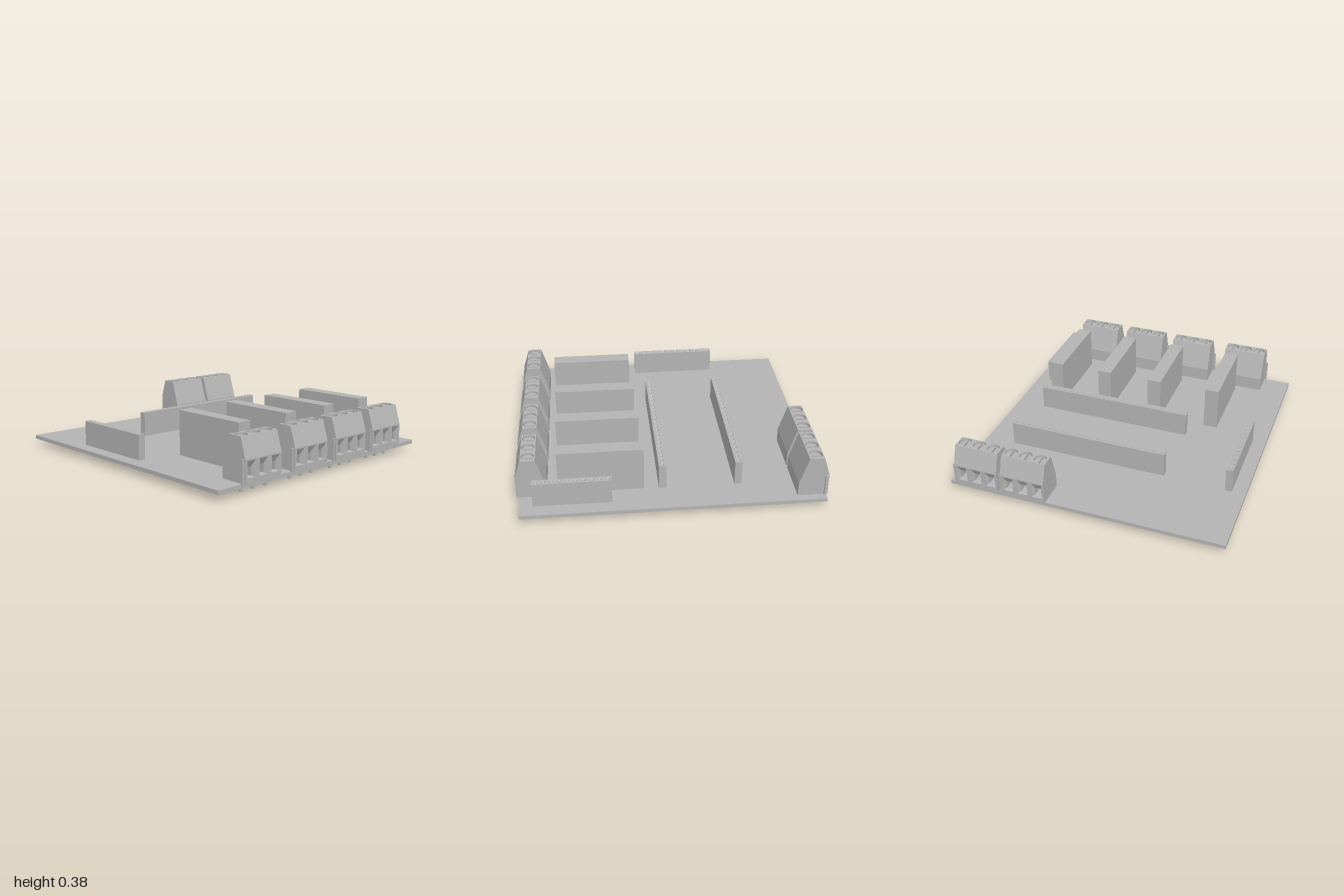
import * as THREE from 'three';
import { mergeGeometries } from 'three/addons/utils/BufferGeometryUtils.js';

const grey = new THREE.MeshStandardMaterial({ color: 0xb4b4b4 });
grey.name = 'grey';

const BOARD_TOP = 0.07;
const PITCH = 0.0505;

function mesh(parent, name, geometry) {
  const m = new THREE.Mesh(geometry, grey);
  m.name = name;
  parent.add(m);
  return m;
}

// Box given by its limits on each axis
function block(parent, name, x0, x1, y0, y1, z0, z1) {
  const m = mesh(parent, name, new THREE.BoxGeometry(x1 - x0, y1 - y0, z1 - z0));
  m.position.set((x0 + x1) / 2, (y0 + y1) / 2, (z0 + z1) / 2);
  return m;
}

function fromTriangles(points) {
  const g = new THREE.BufferGeometry().setFromPoints(points);
  g.computeVertexNormals();
  return g;
}

function face(shape) {
  const g = new THREE.ShapeGeometry(shape).toNonIndexed();
  g.deleteAttribute('uv');
  return g;
}

const rect = (x, y, w, h, z) => [[-1, -1], [1, -1], [1, 1], [-1, 1]]
  .map(([sx, sy]) => new THREE.Vector3(x + sx * w / 2, y + sy * h / 2, z));

const circle = (x, y, r, z) => Array.from({ length: 24 }, (_, i) => {
  const a = i / 24 * Math.PI * 2;
  return new THREE.Vector3(x + r * Math.cos(a), y + r * Math.sin(a), z);
});

// Flat panel facing +z with pockets; each pocket is a list of rings going inward
function panel(w, h, pockets) {
  const shape = new THREE.Shape(rect(0, 0, w, h, 0));
  const tris = [];
  for (const rings of pockets) {
    shape.holes.push(new THREE.Path(rings[0]));
    const n = rings[0].length;
    for (let k = 0; k + 1 < rings.length; k++) {
      for (let i = 0; i < n; i++) {
        const j = (i + 1) % n, r = rings[k], s = rings[k + 1];
        tris.push(r[i], r[j], s[j], r[i], s[j], s[i]);
      }
    }
    const floor = rings[rings.length - 1];
    for (let i = 1; i + 1 < n; i++) tris.push(floor[0], floor[i], floor[i + 1]);
  }
  return mergeGeometries([face(shape), fromTriangles(tris)]);
}

// Strip of walls swept along z from a counterclockwise profile, leaving some edges open
function walls(profile, length, open) {
  const tris = [];
  const at = ([x, y], z) => new THREE.Vector3(x, y, z);
  profile.forEach((p, i) => {
    if (open.includes(i)) return;
    const q = profile[(i + 1) % profile.length], h = length / 2;
    tris.push(at(p, h), at(p, -h), at(q, -h), at(p, h), at(q, -h), at(q, h));
  });
  return fromTriangles(tris);
}

// Socket strip with square holes on top and thin pins below, running along x
function pinHeader(count) {
  const g = new THREE.Group();
  const length = count * PITCH, width = 0.048, top = 0.24;
  const xs = Array.from({ length: count }, (_, i) => (i - (count - 1) / 2) * PITCH);
  const sides = [[0, -1], [1, 0], [0, 1], [-1, 0]].map(([sx, sz]) => {
    const p = new THREE.PlaneGeometry(sx ? width : length, top - BOARD_TOP).toNonIndexed();
    p.deleteAttribute('uv');
    p.rotateY(Math.atan2(sx, sz));
    return p.translate(sx * length / 2, (top + BOARD_TOP) / 2, sz * width / 2);
  });
  mesh(g, 'headerSides', mergeGeometries(sides));
  const pockets = xs.map(x => [rect(x, 0, 0.024, 0.024, 0), rect(x, 0, 0.013, 0.013, -0.012),
    rect(x, 0, 0.013, 0.013, -0.1)]);
  mesh(g, 'headerSockets', panel(length, width, pockets).rotateX(-Math.PI / 2)).position.y = top;
  xs.forEach(x => {
    const pin = mesh(g, 'headerPin', new THREE.CylinderGeometry(0.009, 0.005, 0.04, 4));
    pin.rotation.y = Math.PI / 4;
    pin.position.set(x, 0.033, 0);
  });
  return g;
}

// Three-way screw terminal, wire openings facing +x
function screwTerminal() {
  const g = new THREE.Group();
  const length = 0.305, top = 0.35, lip = 0.217, out = 0.09;
  const profile = [[-0.105, BOARD_TOP], [out, BOARD_TOP], [out, lip], [0.048, top],
    [-0.048, top], [-0.105, 0.165]];
  const end = p => face(new THREE.Shape(p.map(([x, y]) => new THREE.Vector2(x, y))));
  const back = end(profile.map(([x, y]) => [-x, y]).reverse()).rotateY(Math.PI);
  mesh(g, 'terminalBody', mergeGeometries([
    walls(profile, length, [1, 3]),
    end(profile).translate(0, 0, length / 2),
    back.translate(0, 0, -length / 2),
  ]));

  // Wire openings with a sloped lead-in
  const steps = [-0.102, 0, 0.102];
  const openings = steps.map(s => [rect(s, 0.012, 0.07, 0.105, 0),
    rect(s, -0.008, 0.042, 0.056, -0.025), rect(s, -0.008, 0.042, 0.056, -0.085)]);
  const front = mesh(g, 'wireOpenings', panel(length, lip - BOARD_TOP, openings).rotateY(Math.PI / 2));
  front.position.set(out, (lip + BOARD_TOP) / 2, 0);

  // Sunken screws with a slot along x
  const wells = steps.map(s => [circle(0, s, 0.043, 0), circle(0, s, 0.043, -0.035)]);
  mesh(g, 'screwWells', panel(0.096, length, wells).rotateX(-Math.PI / 2)).position.y = top;
  for (const s of steps) {
    for (const turn of [0, Math.PI]) {
      const half = new THREE.Shape();
      half.absarc(0, 0, 0.041, 0.17, Math.PI - 0.17);
      const geo = new THREE.ExtrudeGeometry(half, { depth: 0.02, bevelEnabled: false, curveSegments: 12 });
      const head = mesh(g, 'screwHead', geo.rotateX(-Math.PI / 2));
      head.position.set(0, top - 0.035, s);
      head.rotation.y = turn;
    }
    block(g, 'terminalPin', -0.009, 0.009, 0, BOARD_TOP, s - 0.009, s + 0.009);
  }

  // Interlocking rib on one end
  block(g, 'joiningRib', 0.065, 0.082, BOARD_TOP, lip, length / 2, length / 2 + 0.014);
  return g;
}

export function createModel() {
  const model = new THREE.Group();
  model.name = 'relayBoard';

  block(model, 'circuitBoard', -0.99, 0.98, 0.044, BOARD_TOP, -0.947, 0.94);

  // Socket strips: pin count, x, z, turned to run along z
  [[22, -0.443, -0.182, true], [22, 0.055, -0.182, true],
    [12, -0.173, 0.823, false], [10, 0.64, -0.832, false]].forEach(([n, x, z, turned]) => {
    const h = pinHeader(n);
    h.name = 'pinHeader';
    h.position.set(x, 0, z);
    if (turned) h.rotation.y = Math.PI / 2;
    model.add(h);
  });

  // Slim relays with four pins each
  [[0.175, -0.682], [0.182, -0.302], [0.187, 0.082], [0.197, 0.512]].forEach(([x, z]) => {
    const relay = new THREE.Group();
    relay.name = 'relay';
    block(relay, 'relayCase', x, x + 0.557, BOARD_TOP, 0.375, z - 0.049, z + 0.049);
    for (const dx of [0.025, 0.1, 0.412, 0.51])
      block(relay, 'relayPin', x + dx - 0.008, x + dx + 0.008, 0.005, BOARD_TOP, z - 0.008, z + 0.008);
    model.add(relay);
  });

  // Screw terminals along both edges
  [[1, -0.603], [1, -0.223], [1, 0.168], [1, 0.592], [-1, -0.745], [-1, -0.412]].forEach(([side, z]) => {
    const t = screwTerminal();
    t.name = side > 0 ? 'leftTerminal' : 'rightTerminal';
    t.position.set(side * 0.91, 0, z);
    if (side < 0) t.rotation.y = Math.PI;
    model.add(t);
  });

  return model;
}
